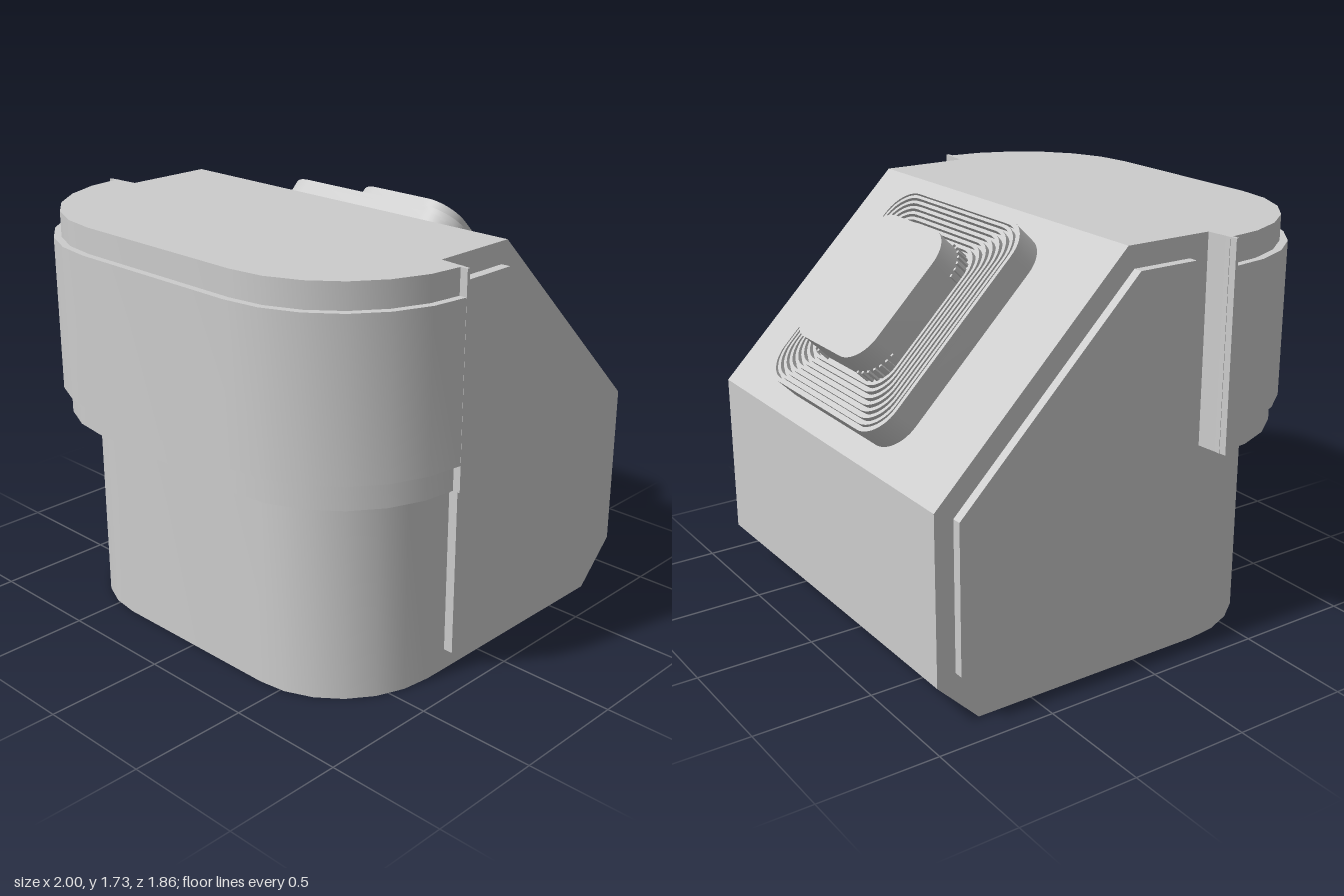
import * as THREE from 'three';
import { toCreasedNormals } from 'three/addons/utils/BufferGeometryUtils.js';

const grey = new THREE.MeshStandardMaterial({ color: 0xcccccc });
grey.name = 'light grey';

function addMesh(parent, name, geometry) {
  const mesh = new THREE.Mesh(toCreasedNormals(geometry, 0.6), grey);
  mesh.name = name;
  parent.add(mesh);
  return mesh;
}

const toShape = (pts) => new THREE.Shape(pts.map(([x, y]) => new THREE.Vector2(x, y)));

const extrude = (shape, depth, curveSegments = 6) =>
  new THREE.ExtrudeGeometry(shape, { depth, bevelEnabled: false, curveSegments });

// Plan outline given as [x, z], raised from y0 to y1
const fromPlan = (pts, y0, y1) =>
  extrude(toShape(pts.map(([x, z]) => [x, -z])), y1 - y0).rotateX(-Math.PI / 2).translate(0, y0, 0);

// Side outline given as [z, y], spanning x0 to x1
const fromSide = (pts, x0, x1) =>
  extrude(toShape(pts), x1 - x0).rotateY(-Math.PI / 2).translate(x1, 0, 0);

// Plan with a flat back and elliptical front corners
function bowPlan(halfWidth, halfFlat, back, front, segments = 6) {
  const right = [];
  for (let i = 0; i <= segments; i++) {
    const a = (i / segments) * Math.PI / 2;
    right.push([halfFlat + (halfWidth - halfFlat) * Math.cos(a), back + (front - back) * Math.sin(a)]);
  }
  return [...right, ...right.map(([x, z]) => [-x, z]).reverse()];
}

// Rounded rectangle from half sizes
function roundedRect(hx, hy, r, Type = THREE.Shape) {
  const s = new Type();
  s.moveTo(hx, -hy + r);
  s.lineTo(hx, hy - r);
  s.absarc(hx - r, hy - r, r, 0, Math.PI / 2);
  s.lineTo(-hx + r, hy);
  s.absarc(-hx + r, hy - r, r, Math.PI / 2, Math.PI);
  s.lineTo(-hx, -hy + r);
  s.absarc(-hx + r, -hy + r, r, Math.PI, Math.PI * 1.5);
  s.lineTo(hx - r, -hy);
  s.absarc(hx - r, -hy + r, r, Math.PI * 1.5, Math.PI * 2);
  return s;
}

export function createModel() {
  const model = new THREE.Group();
  model.name = 'model';

  // Body: chamfered rear block and bowed lower front
  addMesh(model, 'rearBody', fromSide(
    [[0.31, 0], [0.31, 1.72], [-0.08, 1.72], [-0.92, 0.88], [-0.92, 0.18], [-0.74, 0]], -0.86, 0.86));
  addMesh(model, 'frontBody', fromPlan(bowPlan(0.86, 0.4, 0.31, 0.79), 0, 0.9));

  // Overhanging head with a raised wraparound band
  addMesh(model, 'head', fromPlan(bowPlan(0.97, 0.4, 0.31, 0.905), 0.86, 1.72));
  addMesh(model, 'band', fromPlan(bowPlan(1, 0.4, 0.32, 0.935), 0.97, 1.615));

  for (const side of [1, -1]) {
    // Thin flange closing the back of the head
    addMesh(model, 'headFlange', fromPlan(
      [[0.84, 0.3], [1, 0.315], [1, 0.328], [0.84, 0.328]].map(([x, z]) => [x * side, z]), 0.86, 1.72));

    // Raised side panel
    const x0 = side > 0 ? 0.85 : -0.9;
    addMesh(model, 'sidePanel', fromSide(
      [[0.215, 0.09], [0.215, 1.63], [-0.05, 1.63], [-0.84, 0.84], [-0.84, 0.22], [-0.7, 0.09]], x0, x0 + 0.05));
  }

  // Eyepiece on the sloped rear face; local z points out of the slope
  const eyepiece = new THREE.Group();
  eyepiece.name = 'eyepiece';
  eyepiece.position.set(0, 1.3, -0.5);
  eyepiece.rotation.x = -Math.PI * 0.75;
  model.add(eyepiece);

  const HX = 0.47, HY = 0.495, R = 0.135;
  addMesh(eyepiece, 'eyepieceBase', extrude(roundedRect(HX, HY, R), 0.09));

  // Concentric ridges
  for (let i = 0; i < 8; i++) {
    const d = i * 0.0235;
    const w = i === 0 ? 0.017 : 0.013;
    const ring = roundedRect(HX - d, HY - d, R - d * 0.15);
    ring.holes.push(roundedRect(HX - d - w, HY - d - w, R - d * 0.15 - w * 0.5, THREE.Path));
    addMesh(eyepiece, 'ridge', extrude(ring, 0.033).translate(0, 0, 0.08));
  }

  // Central pad
  const px = 0.277, py = 0.304, pr = 0.13;
  addMesh(eyepiece, 'pad', extrude(roundedRect(px, py, pr), 0.167, 8).translate(0, 0, 0.08));

  // Small grip teeth round the corners of the pad
  for (const sx of [1, -1]) {
    for (const sy of [1, -1]) {
      for (let i = 0; i < 7; i++) {
        const a = ((i + 0.5) / 7) * Math.PI / 2;
        const tooth = addMesh(eyepiece, 'gripTooth', new THREE.BoxGeometry(0.02, 0.012, 0.06));
        tooth.position.set(sx * (px - pr + pr * Math.cos(a)), sy * (py - pr + pr * Math.sin(a)), 0.12);
        tooth.rotation.z = sx * sy * a;
      }
    }
  }

  return model;
}
